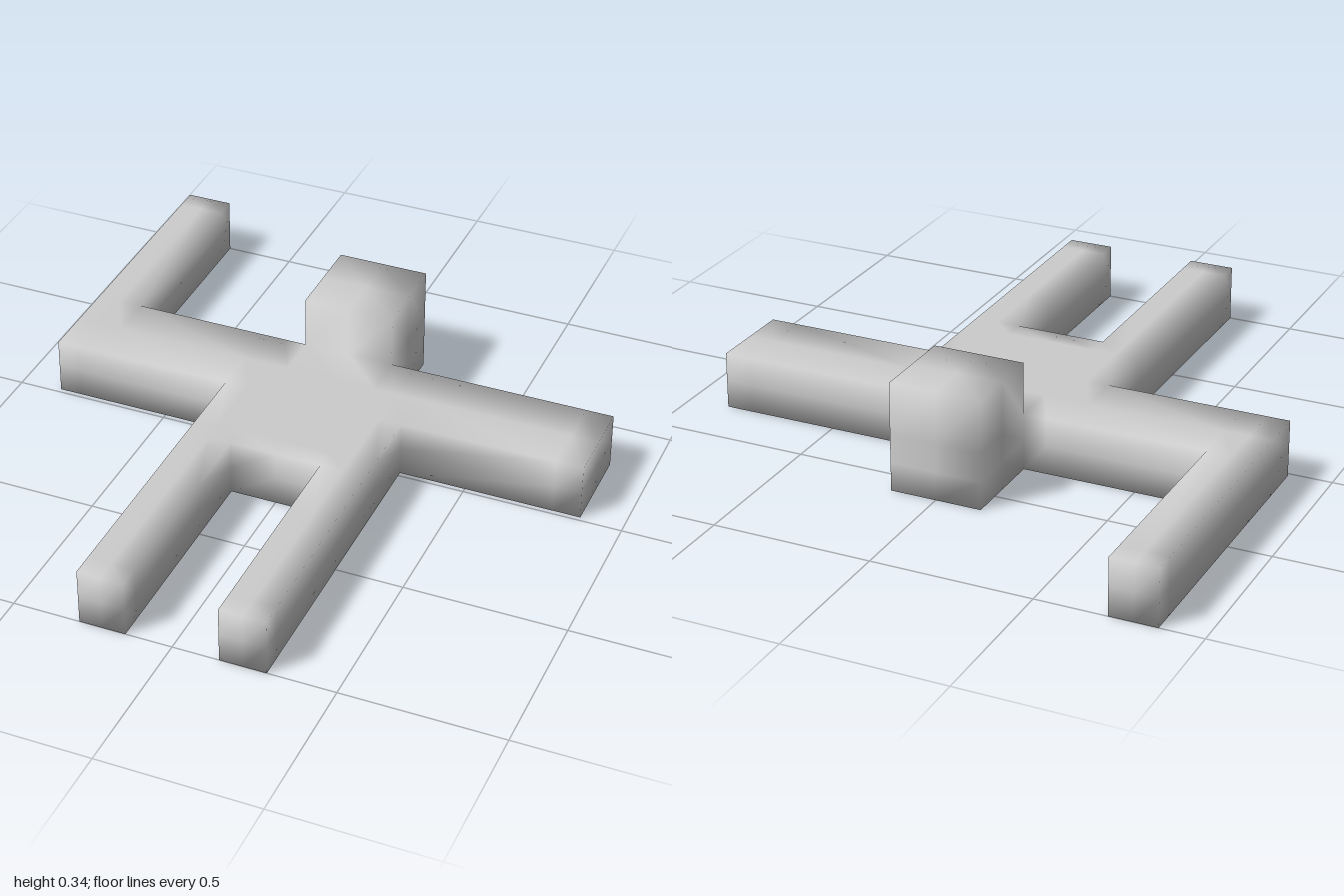
import * as THREE from 'three';

// Each part is a block given by its cut positions along x, y and z.
const Y = [0, 0.09, 0.18];
const ARM_Z = [-0.305, -0.16, -0.015];
const LEG_X = [0.145, 0.2175, 0.29];
const LEG_Z = [0.27, 0.5, 0.93, 1];
const mirror = (cuts) => cuts.map((v) => -v).reverse();

const PARTS = {
  torso: [[-0.29, -0.2175, -0.145, 0, 0.145, 0.2175, 0.29], Y, [...ARM_Z, 0.2, 0.27]],
  head: [[-0.145, 0, 0.145], [...Y, 0.345], [-0.595, -0.45, -0.305]],
  leftArm: [[0.29, 0.78, 0.867], Y, ARM_Z],
  rightUpperArm: [[-0.867, -0.795, -0.72, -0.29], Y, ARM_Z],
  rightForearm: [[-0.867, -0.795, -0.72], Y, [-1, -0.93, -0.305]],
  leftLeg: [LEG_X, Y, LEG_Z],
  rightLeg: [mirror(LEG_X), Y, LEG_Z],
};

const isInside = (p, cuts) => cuts.every((c, i) => p[i] > c[0] && p[i] < c[c.length - 1]);

// Outer quads of a block, leaving open the places where another block joins it.
function blockQuads(cuts) {
  const quads = [];
  for (let a = 0; a < 3; a++) {
    const b = (a + 1) % 3, c = (a + 2) % 3;
    for (const side of [-1, 1]) {
      const level = side < 0 ? cuts[a][0] : cuts[a][cuts[a].length - 1];
      for (let i = 0; i < cuts[b].length - 1; i++) {
        for (let j = 0; j < cuts[c].length - 1; j++) {
          const corner = (di, dj) => {
            const p = [0, 0, 0];
            p[a] = level;
            p[b] = cuts[b][i + di];
            p[c] = cuts[c][j + dj];
            return p;
          };
          const corners = [corner(0, 0), corner(1, 0), corner(1, 1), corner(0, 1)];
          const probe = [0, 1, 2].map((k) => (corners[0][k] + corners[2][k]) / 2);
          probe[a] += side * 0.01;
          if (Object.values(PARTS).some((other) => isInside(probe, other))) continue;
          if (side < 0) corners.reverse();
          const normal = new THREE.Vector3().setComponent(a, side);
          quads.push({ corners, normal });
        }
      }
    }
  }
  return quads;
}

export function createModel() {
  const group = new THREE.Group();
  group.name = 'figure';
  const material = new THREE.MeshStandardMaterial({ color: 0xcccccc });
  const blocks = Object.entries(PARTS).map(([name, cuts]) => ({ name, quads: blockQuads(cuts) }));

  // Smooth normals shared by all parts, so the joints shade continuously.
  const key = (p) => p.map((v) => Math.round(v * 10000)).join();
  const normals = new Map();
  for (const { quads } of blocks) {
    for (const { corners, normal } of quads) {
      for (const p of corners) {
        if (!normals.has(key(p))) normals.set(key(p), new THREE.Vector3());
        normals.get(key(p)).add(normal);
      }
    }
  }
  normals.forEach((n) => n.normalize());

  for (const { name, quads } of blocks) {
    const position = [], normal = [], index = [];
    for (const { corners } of quads) {
      const start = position.length / 3;
      for (const p of corners) {
        position.push(...p);
        normal.push(...normals.get(key(p)).toArray());
      }
      index.push(start, start + 1, start + 2, start, start + 2, start + 3);
    }
    const geometry = new THREE.BufferGeometry();
    geometry.setAttribute('position', new THREE.Float32BufferAttribute(position, 3));
    geometry.setAttribute('normal', new THREE.Float32BufferAttribute(normal, 3));
    geometry.setIndex(index);
    const mesh = new THREE.Mesh(geometry, material);
    mesh.name = name;
    group.add(mesh);
  }
  return group;
}
